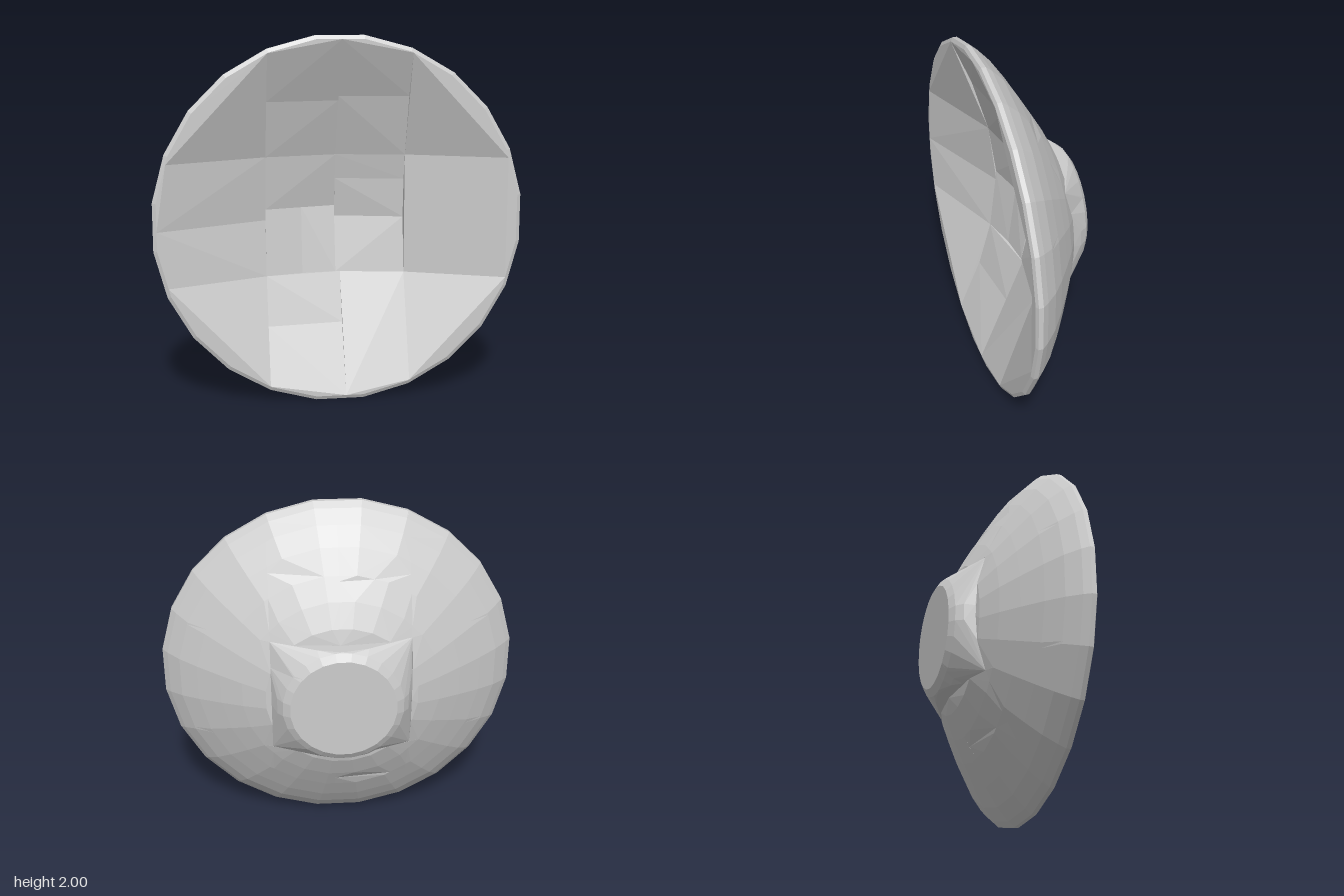
import * as THREE from 'three';
import { ConvexGeometry } from 'three/addons/geometries/ConvexGeometry.js';

const SIDES = 24;
const R = 1 / Math.cos(Math.PI / SIDES); // flats of the rim touch the unit square

// Profiles as [radius, z], running outward from the centre
const dishBack = [[0, -0.2], [0.33, -0.17], [0.42, -0.145], [0.55, -0.08], [0.67, -0.01],
  [0.8, 0.07], [0.9, 0.14], [0.97, 0.205], [1, 0.24], [1, 0.265]];
const footBack = [[0, -0.275], [0.29, -0.275], [0.33, -0.25], [0.36, -0.21], [0.38, -0.16],
  [0.42, -0.14], [0.55, -0.08]];
const dishFront = [[0, -0.06], [0.33, 0.01], [0.5, 0.07], [0.7, 0.14], [0.92, 0.245], [0.98, 0.275]];

// Height of a profile at radius r
function depthAt(profile, r) {
  for (let i = 1; i < profile.length; i++) {
    const [r0, z0] = profile[i - 1], [r1, z1] = profile[i];
    if (r <= r1) return z0 + (z1 - z0) * (r - r0) / (r1 - r0);
  }
  return null;
}

// Part of segment a-b inside the rectangle, as two end points
function clip(a, b, [x0, x1, y0, y1]) {
  let t0 = 0, t1 = 1;
  const dx = b[0] - a[0], dy = b[1] - a[1];
  for (const [p, q] of [[-dx, a[0] - x0], [dx, x1 - a[0]], [-dy, a[1] - y0], [dy, y1 - a[1]]]) {
    if (Math.abs(p) < 1e-9) { if (q < 0) return []; continue; }
    if (p < 0) t0 = Math.max(t0, q / p); else t1 = Math.min(t1, q / p);
  }
  return t0 > t1 ? [] : [t0, t1].map(t => [a[0] + dx * t, a[1] + dy * t]);
}

// One convex piece of the dish inside a rectangle (x0, x1, y0, y1)
function panel(rect, back) {
  const points = [];
  const add = (x, y, z) => {
    const p = new THREE.Vector3(x, y, z);
    if (!points.some(o => o.distanceTo(p) < 1e-3)) points.push(p);
  };
  for (const profile of [back, dishFront]) {
    for (const [r, z] of profile) {
      const corner = i => {
        const a = (i + 0.5) / SIDES * Math.PI * 2;
        return [r * R * Math.cos(a), 1 + r * R * Math.sin(a)];
      };
      for (let i = 0; i < SIDES; i++) {
        for (const [x, y] of clip(corner(i), corner(i + 1), rect)) add(x, y, z);
      }
    }
    for (const x of [rect[0], rect[1]]) for (const y of [rect[2], rect[3]]) {
      const z = depthAt(profile, Math.hypot(x, y - 1));
      if (z !== null) add(x, y, z);
    }
  }
  return new ConvexGeometry(points);
}

export function createModel() {
  const model = new THREE.Group();
  model.name = 'dish';
  const material = new THREE.MeshStandardMaterial({ color: 0xcccccc, flatShading: true });
  const L = -0.385, M = 0.01, Rt = 0.39, lo = 0.665, hi = 1.335, E = 1.1;

  const parts = {
    cornerPanel: [[-E, L, hi, 2.1], [Rt, E, hi, 2.1], [-E, L, -0.1, lo], [Rt, E, -0.1, lo]],
    sidePanel: [[-E, L, 0.975, hi], [-E, L, lo, 0.975], [Rt, E, lo, hi]],
    topPanel: [[L, M, 1.645, 2.1], [L, M, hi, 1.645], [M, Rt, 1.67, 2.1], [M, Rt, hi, 1.67]],
    bottomPanel: [[L, 0.035, 0.395, lo], [L, 0.035, -0.1, 0.395], [0.035, Rt, -0.1, lo]],
    // Centre pieces carry the flat round foot on the back
    footPanel: [[L, M, 1.035, hi], [L, -0.18, lo, 1.035], [-0.18, M, lo, 1.035],
      [M, Rt, 1.195, hi], [M, Rt, 0.975, 1.195], [M, Rt, lo, 0.975]],
  };
  for (const [name, rects] of Object.entries(parts)) {
    const group = new THREE.Group();
    group.name = name + 's';
    for (const rect of rects) {
      const mesh = new THREE.Mesh(panel(rect, name === 'footPanel' ? footBack : dishBack), material);
      mesh.name = name;
      group.add(mesh);
    }
    model.add(group);
  }
  return model;
}
